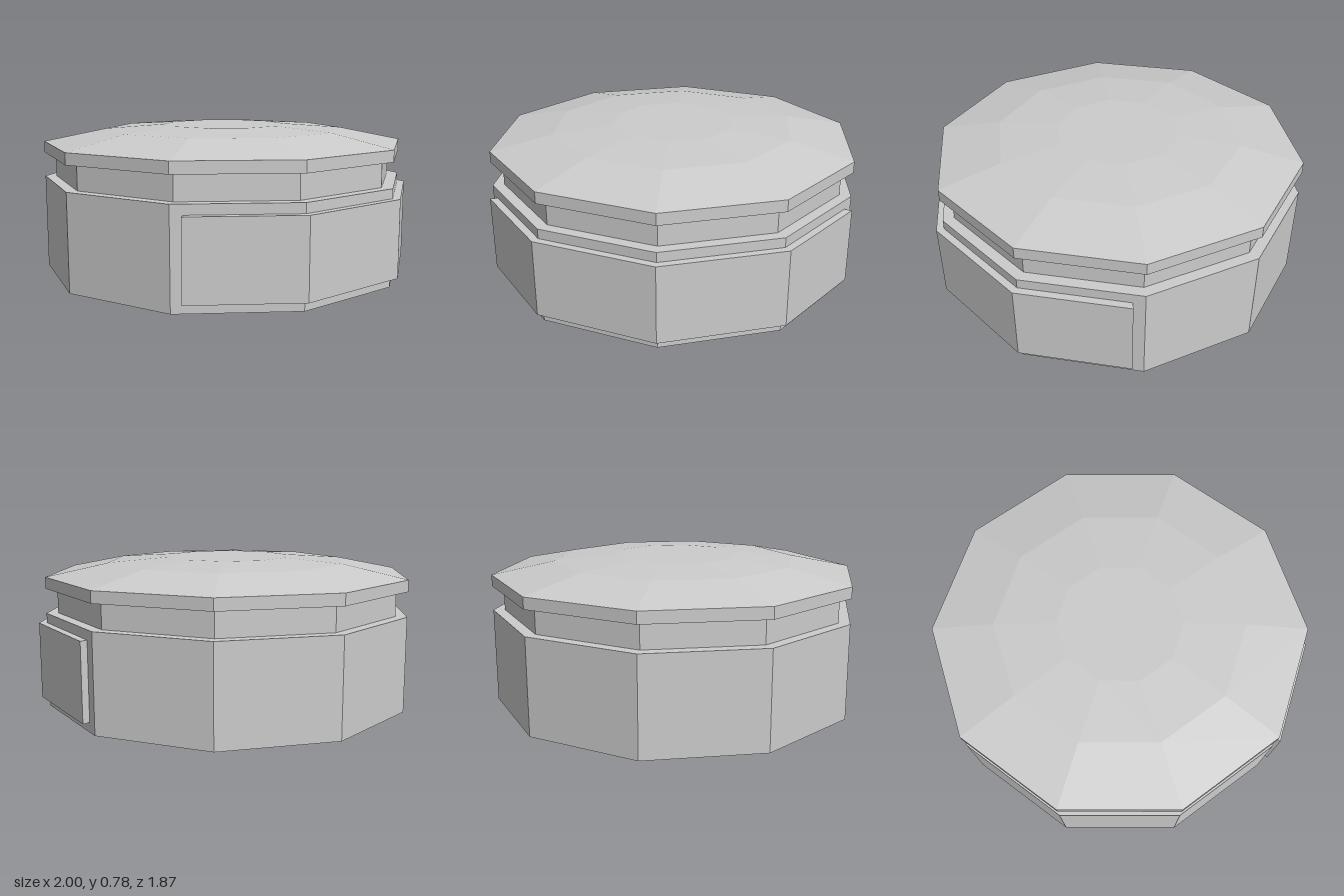
import * as THREE from 'three';

const SIDES = 10;
const CENTRE_X = -0.02;

export function createModel() {
  const model = new THREE.Group();
  const material = new THREE.MeshStandardMaterial({ color: 0xcccccc, flatShading: true });

  const add = (name, geometry) => {
    const mesh = new THREE.Mesh(geometry, material);
    mesh.name = name;
    mesh.position.x = CENTRE_X;
    model.add(mesh);
    return mesh;
  };

  // Ten-sided solid from a [radius, height] profile, with a corner on the x axis
  const turned = (name, profile) =>
    add(name, new THREE.LatheGeometry(
      profile.map(([r, y]) => new THREE.Vector2(r, y)), SIDES, Math.PI / 2));

  turned('jarBody', [[0, 0], [0.98, 0], [0.98, 0.5], [0, 0.5]]);
  turned('neck', [[0.92, 0.5], [0.92, 0.63]]);
  turned('lid', [[0, 0.63], [0.98, 0.63], [0.98, 0.69], [0.65, 0.757], [0.327, 0.78], [0, 0.78]]);

  // Raised label band wrapped round the left side, stopping just short of the outer corners
  const corner = (r, i) => {
    const a = (i * Math.PI * 2) / SIDES;
    return new THREE.Vector2(r * Math.cos(a), r * Math.sin(a));
  };
  const arc = (r) => [
    corner(r, -1).lerp(corner(r, -2), 0.9),
    corner(r, -1), corner(r, 0), corner(r, 1),
    corner(r, 1).lerp(corner(r, 2), 0.9),
  ];
  const outline = new THREE.Shape([...arc(1.02), ...arc(0.97).reverse()]);
  const band = new THREE.ExtrudeGeometry(outline, { depth: 0.4, bevelEnabled: false });
  band.rotateX(-Math.PI / 2);
  add('labelBand', band).position.y = 0.05;

  return model;
}
